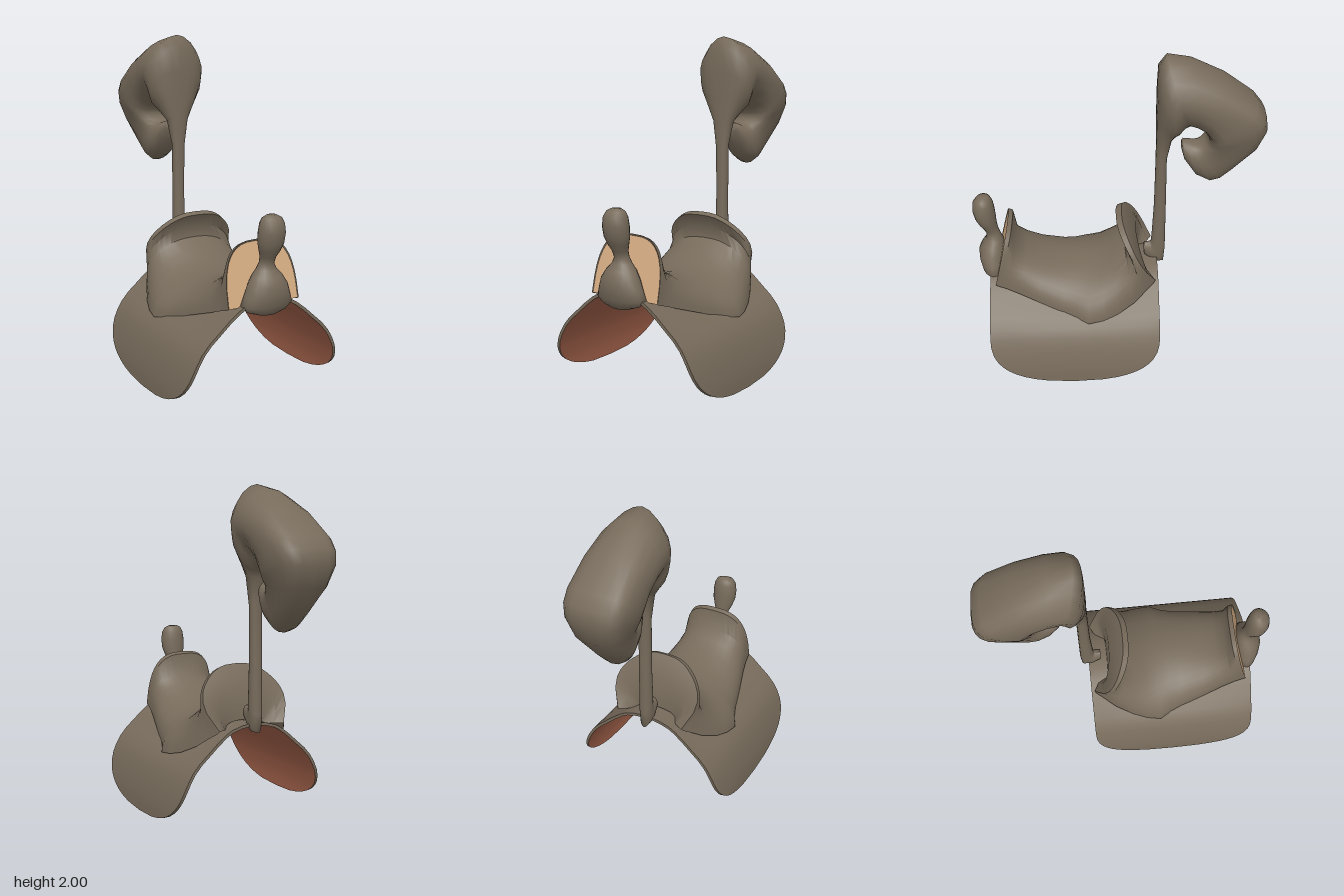
import * as THREE from 'three';
import { toCreasedNormals } from 'three/addons/utils/BufferGeometryUtils.js';

const mat = (name, color, side = THREE.DoubleSide) => {
  const m = new THREE.MeshStandardMaterial({ color, side });
  m.name = name;
  return m;
};

// Skin a list of equal-length rings; closed joins each ring's ends, caps fill the first and last ring
function loft(rings, closed = false, caps = false, crease = 0) {
  const n = rings[0].length, pos = [], idx = [];
  rings.forEach(r => r.forEach(p => pos.push(...p)));
  const cols = closed ? n : n - 1;
  for (let i = 0; i < rings.length - 1; i++) {
    for (let j = 0; j < cols; j++) {
      const k = (j + 1) % n;
      const a = i * n + j, b = i * n + k, c = b + n, d = a + n;
      idx.push(a, b, d, b, c, d);
    }
  }
  if (caps) {
    const last = (rings.length - 1) * n;
    for (let j = 1; j < n - 1; j++) {
      idx.push(0, j + 1, j);
      idx.push(last, last + j, last + j + 1);
    }
  }
  const g = new THREE.BufferGeometry();
  g.setAttribute('position', new THREE.Float32BufferAttribute(pos, 3));
  g.setIndex(idx);
  g.computeVertexNormals();
  return crease ? toCreasedNormals(g, crease) : g;
}

const power = (v, e) => Math.sign(v) * Math.pow(Math.abs(v), e);

// Arched section: bottom and top z, half width, bottom and top y, squareness exponent, sideways bulge
function arch([zb, zt, w, yb, yt, e, bulge = 0]) {
  const pts = [], n = 20;
  for (let j = 0; j <= n; j++) {
    const a = Math.PI * j / n, c = Math.cos(a);
    const s = Math.pow(Math.max(Math.sin(a), 0), e);
    const width = w + bulge * Math.sin(Math.PI * s);
    pts.push([width * power(c, e), yb + (yt - yb) * s, zb + (zt - zb) * s]);
  }
  return pts;
}

// Saddle cloth: a curved sheet with rounded lower corners
function clothRows(offset) {
  const half = new THREE.CatmullRomCurve3([
    [0.52, 0], [0.512, 0.08], [0.495, 0.16], [0.46, 0.265], [0.4, 0.368],
    [0.3, 0.462], [0.2, 0.546], [0.13, 0.583], [0, 0.605],
  ].map(([x, y]) => new THREE.Vector3(x, y, 0)));
  const n = 18, side = [];
  for (let k = 0; k <= n; k++) {
    const u = Math.pow(k / n, 1.5);
    const p = half.getPoint(u), t = half.getTangent(u);
    const q = Math.max(0, 1 - p.y / 0.3);
    const h = 0.525 * Math.pow(Math.max(0, 1 - Math.pow(q, 2.4)), 1 / 2.4);
    side.push([Math.max(0, p.x - t.y * offset), Math.max(0, p.y + t.x * offset), h, p.y]);
  }
  const profile = [...side, ...side.slice(0, -1).reverse().map(([x, y, h, b]) => [-x, y, h, b])];
  const rows = [];
  for (let i = 0; i <= 14; i++) {
    const t = -1 + 2 * i / 14;
    rows.push(profile.map(([x, y, h, b]) => {
      const sag = 0.025 * (1 - t * t) * THREE.MathUtils.smoothstep(b, 0.3, 0.5);
      return [x, y - sag, 0.265 + h * t];
    }));
  }
  return rows;
}

export function createModel() {
  const group = new THREE.Group();
  const leather = mat('dark leather', 0x776b5b);
  const lining = mat('red brown lining', 0xa3624b);
  const tan = mat('tan leather', 0xd4ab82, THREE.FrontSide);
  const add = (name, geo, m) => {
    const mesh = new THREE.Mesh(geo, m);
    mesh.name = name;
    group.add(mesh);
  };

  // Saddle cloth
  const outer = clothRows(0), inner = clothRows(0.018);
  add('saddleCloth', loft(outer), leather);
  add('clothLining', loft(inner.map(r => [...r].reverse())), lining);
  add('clothBackEdge', loft([inner[0], outer[0]]), leather);
  add('clothFrontEdge', loft([outer[14], inner[14]]), leather);

  // Seat, from the hollow back of the cantle to the front rim
  const seat = [
    [-0.15, -0.14, 0.13, 0.56, 0.6, 0.8],
    [-0.21, -0.125, 0.17, 0.57, 0.81, 0.7, 0.04],
    [-0.24, -0.035, 0.225, 0.57, 0.93, 0.66, 0.07],
    [-0.228, 0.0, 0.235, 0.555, 0.915, 0.66, 0.062],
    [-0.18, -0.055, 0.265, 0.52, 0.83, 0.7, 0.035],
    [-0.11, -0.05, 0.31, 0.465, 0.765, 0.82, 0.01],
    [0.0, 0.03, 0.358, 0.41, 0.705, 0.95],
    [0.09, 0.1, 0.386, 0.385, 0.66, 1.05],
    [0.18, 0.18, 0.4, 0.375, 0.635, 1.08],
    [0.25, 0.25, 0.362, 0.388, 0.63, 1.04],
    [0.33, 0.33, 0.332, 0.41, 0.632, 1],
    [0.48, 0.47, 0.291, 0.463, 0.665, 0.92],
    [0.6, 0.56, 0.256, 0.505, 0.715, 0.82],
    [0.68, 0.62, 0.238, 0.535, 0.765, 0.74],
    [0.735, 0.64, 0.23, 0.552, 0.9, 0.68],
    [0.752, 0.668, 0.23, 0.56, 0.912, 0.68],
    [0.747, 0.663, 0.224, 0.56, 0.9, 0.68],
  ];
  add('seat', loft(seat.map(arch), false, false, 0.75), leather);

  // Tan face inside the front rim, backed with leather
  const panel = z => loft([
    [z, z - 0.084, 0.225, 0.56, 0.901, 0.68],
    [z, z, 0, 0.56, 0.56, 0.68],
  ].map(arch));
  add('frontPanel', panel(0.748), tan);
  add('frontPanelBacking', panel(0.74), leather);

  // Horn: stacked ovals given as y, centre z, half width, half depth
  const horn = [
    [0.515, 0.785, 0.06, 0.03], [0.535, 0.775, 0.125, 0.06], [0.57, 0.77, 0.16, 0.08],
    [0.62, 0.775, 0.142, 0.088], [0.68, 0.778, 0.122, 0.085], [0.73, 0.77, 0.092, 0.07],
    [0.765, 0.762, 0.06, 0.05], [0.8, 0.765, 0.042, 0.042], [0.835, 0.777, 0.045, 0.044],
    [0.875, 0.793, 0.062, 0.054], [0.92, 0.804, 0.076, 0.064], [0.98, 0.812, 0.079, 0.068],
    [1.03, 0.813, 0.072, 0.062], [1.06, 0.81, 0.057, 0.045], [1.075, 0.805, 0.028, 0.022],
  ];
  const oval = (fn, n = 20) => Array.from({ length: n }, (_, j) => {
    const a = 2 * Math.PI * j / n;
    return fn(Math.cos(a), Math.sin(a));
  });
  add('horn', loft(horn.map(([y, z, rx, rz]) => oval((c, s) => [rx * s, y, z + rz * c])), true, true), leather);

  // Rear post and curl: outer z, y, inner z, y, half width, squareness (over 1 is pointed)
  const curl = [
    [-0.18, 0.70, -0.18, 0.61, 0.03, 1],
    [-0.215, 0.70, -0.245, 0.545, 0.036, 1],
    [-0.222, 0.71, -0.305, 0.55, 0.04, 1],
    [-0.226, 0.76, -0.312, 0.66, 0.04, 0.9],
    [-0.235, 1.0, -0.308, 1.0, 0.037, 0.9],
    [-0.236, 1.3, -0.303, 1.33, 0.04, 0.9],
    [-0.235, 1.48, -0.328, 1.47, 0.068, 0.85],
    [-0.232, 1.62, -0.35, 1.51, 0.12, 0.8],
    [-0.232, 1.78, -0.375, 1.535, 0.172, 0.85],
    [-0.235, 1.93, -0.4, 1.55, 0.193, 1.05],
    [-0.28, 2.0, -0.43, 1.56, 0.2, 1.2],
    [-0.42, 1.97, -0.465, 1.557, 0.2, 1.05],
    [-0.62, 1.865, -0.505, 1.545, 0.2, 0.85],
    [-0.8, 1.725, -0.53, 1.515, 0.196, 0.65],
    [-0.855, 1.655, -0.535, 1.495, 0.19, 0.62],
    [-0.87, 1.57, -0.532, 1.475, 0.178, 0.62],
    [-0.83, 1.44, -0.52, 1.452, 0.15, 0.7],
    [-0.7, 1.28, -0.49, 1.44, 0.118, 0.8],
    [-0.63, 1.205, -0.47, 1.44, 0.106, 0.85],
    [-0.57, 1.18, -0.45, 1.443, 0.098, 0.9],
    [-0.48, 1.22, -0.42, 1.455, 0.085, 1],
    [-0.405, 1.33, -0.395, 1.455, 0.065, 1],
    [-0.385, 1.4, -0.385, 1.445, 0.035, 1],
  ];
  add('rearPostAndCurl', loft(curl.map(([oz, oy, iz, iy, w, e]) => oval((c, s) => [
    w * power(s, e),
    (oy + iy) / 2 + (oy - iy) / 2 * power(c, e),
    (oz + iz) / 2 + (oz - iz) / 2 * power(c, e),
  ])), true, true), leather);

  return group;
}
